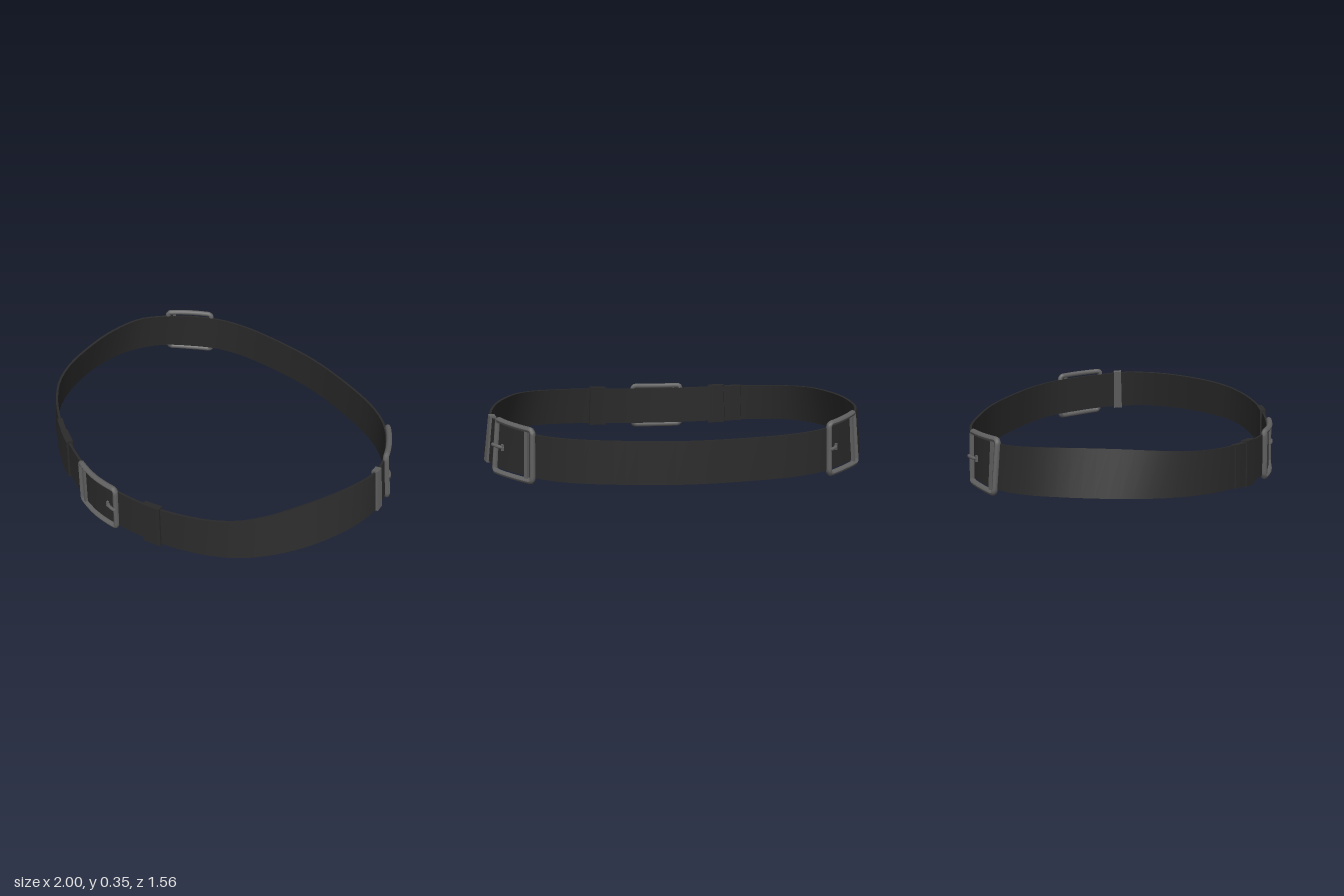
import * as THREE from 'three';

// Half of the belt, front centre to back centre: bottom edge x, z, y then top edge x, z, y
const STATIONS = [
  [0, 0.755, 0.03, 0, 0.75, 0.245],
  [0.2, 0.73, 0.037, 0.2, 0.725, 0.252],
  [0.4, 0.68, 0.055, 0.39, 0.675, 0.266],
  [0.55, 0.62, 0.07, 0.54, 0.612, 0.28],
  [0.68, 0.55, 0.085, 0.66, 0.54, 0.292],
  [0.79, 0.46, 0.098, 0.755, 0.455, 0.305],
  [0.88, 0.33, 0.107, 0.83, 0.335, 0.32],
  [0.945, 0.18, 0.114, 0.885, 0.18, 0.332],
  [0.98, 0.03, 0.118, 0.925, 0.03, 0.338],
  [0.992, -0.1, 0.118, 0.945, -0.1, 0.338],
  [0.975, -0.25, 0.112, 0.945, -0.25, 0.333],
  [0.915, -0.4, 0.105, 0.895, -0.385, 0.322],
  [0.81, -0.52, 0.1, 0.8, -0.515, 0.316],
  [0.68, -0.63, 0.097, 0.675, -0.625, 0.31],
  [0.52, -0.7, 0.095, 0.52, -0.695, 0.307],
  [0.27, -0.75, 0.095, 0.27, -0.745, 0.305],
  [0, -0.773, 0.095, 0, -0.768, 0.304],
];
const HALF = 0.108; // nominal half width of the strap

// Closed loop running front -> +x -> back -> -x
function loopCurve(pick) {
  const half = STATIONS.map(pick);
  const mirrored = half.slice(1, -1).reverse().map((p) => new THREE.Vector3(-p.x, p.y, p.z));
  const curve = new THREE.CatmullRomCurve3([...half, ...mirrored], true);
  curve.arcLengthDivisions = 600;
  return curve;
}

export function createModel() {
  const group = new THREE.Group();
  const leather = new THREE.MeshStandardMaterial({ color: 0x2a2a2a });
  leather.name = 'black leather';
  const metal = new THREE.MeshStandardMaterial({ color: 0x606060 });
  metal.name = 'grey metal';

  const bottom = loopCurve((s) => new THREE.Vector3(s[0], s[2], s[1]));
  const top = loopCurve((s) => new THREE.Vector3(s[3], s[5], s[4]));
  const middle = loopCurve((s) => new THREE.Vector3((s[0] + s[3]) / 2, (s[2] + s[5]) / 2, (s[1] + s[4]) / 2));
  const length = middle.getLength();

  // Arc distance along the belt nearest to a plan position
  function locate(x, z) {
    let best = 0, bestD = Infinity;
    for (let i = 0; i < 800; i++) {
      const p = middle.getPointAt(i / 800);
      const d = Math.hypot(p.x - x, p.z - z);
      if (d < bestD) { bestD = d; best = (i / 800) * length; }
    }
    return best;
  }

  // Wrap a flat geometry onto the strap: x along it, y across it, z outward
  function bend(geometry, at) {
    const pos = geometry.attributes.position;
    for (let i = 0; i < pos.count; i++) {
      const u = ((((at + pos.getX(i)) / length) % 1) + 1) % 1;
      const t = middle.getUtoTmapping(u);
      const low = bottom.getPoint(t), high = top.getPoint(t);
      const up = high.clone().sub(low);
      const out = middle.getTangent(t).cross(up).normalize();
      const p = low.add(high).multiplyScalar(0.5)
        .addScaledVector(up, pos.getY(i) / (2 * HALF))
        .addScaledVector(out, pos.getZ(i));
      pos.setXYZ(i, p.x, p.y, p.z);
    }
    geometry.computeVertexNormals();
    return geometry;
  }

  function add(parent, name, geometry, material, at) {
    const mesh = new THREE.Mesh(bend(geometry, at), material);
    mesh.name = name;
    parent.add(mesh);
  }

  // Strap: one long band closing at the back
  add(group, 'strap', new THREE.BoxGeometry(length, 2 * HALF, 0.012, 96, 1, 1), leather, 0);

  // Keeper loops around the strap and the folded strap end
  function band(name, x, z, width, height, depth, material) {
    add(group, name, new THREE.BoxGeometry(width, height, depth, 4, 1, 1), material, locate(x, z));
  }
  band('leftKeeper', 0.38, 0.68, 0.1, 0.235, 0.032, leather);
  band('rightKeeper', -0.35, 0.69, 0.1, 0.235, 0.036, leather);
  band('strapEnd', -0.45, 0.66, 0.1, 0.222, 0.028, leather);
  band('sideKeeper', 0.955, -0.295, 0.048, 0.232, 0.032, metal);

  // Buckle: rounded frame, inner bar and a short prong over the end at +dir
  function buckle(name, at, dir, width, height) {
    const part = new THREE.Group();
    part.name = name;
    const r = 0.015, w = width / 2 - r, h = height / 2 - r, c = 0.018;
    const outline = new THREE.Shape();
    outline.moveTo(-w + c, -h);
    outline.lineTo(w - c, -h);
    outline.quadraticCurveTo(w, -h, w, -h + c);
    outline.lineTo(w, h - c);
    outline.quadraticCurveTo(w, h, w - c, h);
    outline.lineTo(-w + c, h);
    outline.quadraticCurveTo(-w, h, -w, h - c);
    outline.lineTo(-w, -h + c);
    outline.quadraticCurveTo(-w, -h, -w + c, -h);
    const points = outline.getSpacedPoints(72).slice(0, -1).map((p) => new THREE.Vector3(p.x, p.y, 0.01));
    const path = new THREE.CatmullRomCurve3(points, true);
    add(part, 'frame', new THREE.TubeGeometry(path, 96, r, 8, true), metal, at);

    const bar = new THREE.BoxGeometry(0.018, 2 * h, 0.018, 1, 6, 1);
    add(part, 'innerBar', bar.translate(-dir * (w - 0.036), 0, 0.01), metal, at);

    const prongPath = new THREE.CatmullRomCurve3([
      [w - 0.06, 0.002], [w - 0.05, 0.014], [w - 0.025, 0.022], [w + 0.012, 0.025],
    ].map(([x, z]) => new THREE.Vector3(dir * x, 0, z)));
    add(part, 'prong', new THREE.TubeGeometry(prongPath, 8, 0.009, 8), metal, at);
    const root = new THREE.BoxGeometry(0.012, 0.032, 0.016);
    add(part, 'prongRoot', root.translate(dir * (w - 0.058), 0, 0.008), metal, at);
    group.add(part);
  }
  buckle('frontBuckle', 0.015, 1, 0.32, 0.272);
  buckle('leftBuckle', locate(0.825, -0.51), -1, 0.3, 0.285);
  buckle('rightBuckle', locate(-0.82, -0.53), -1, 0.29, 0.285);

  return group;
}
